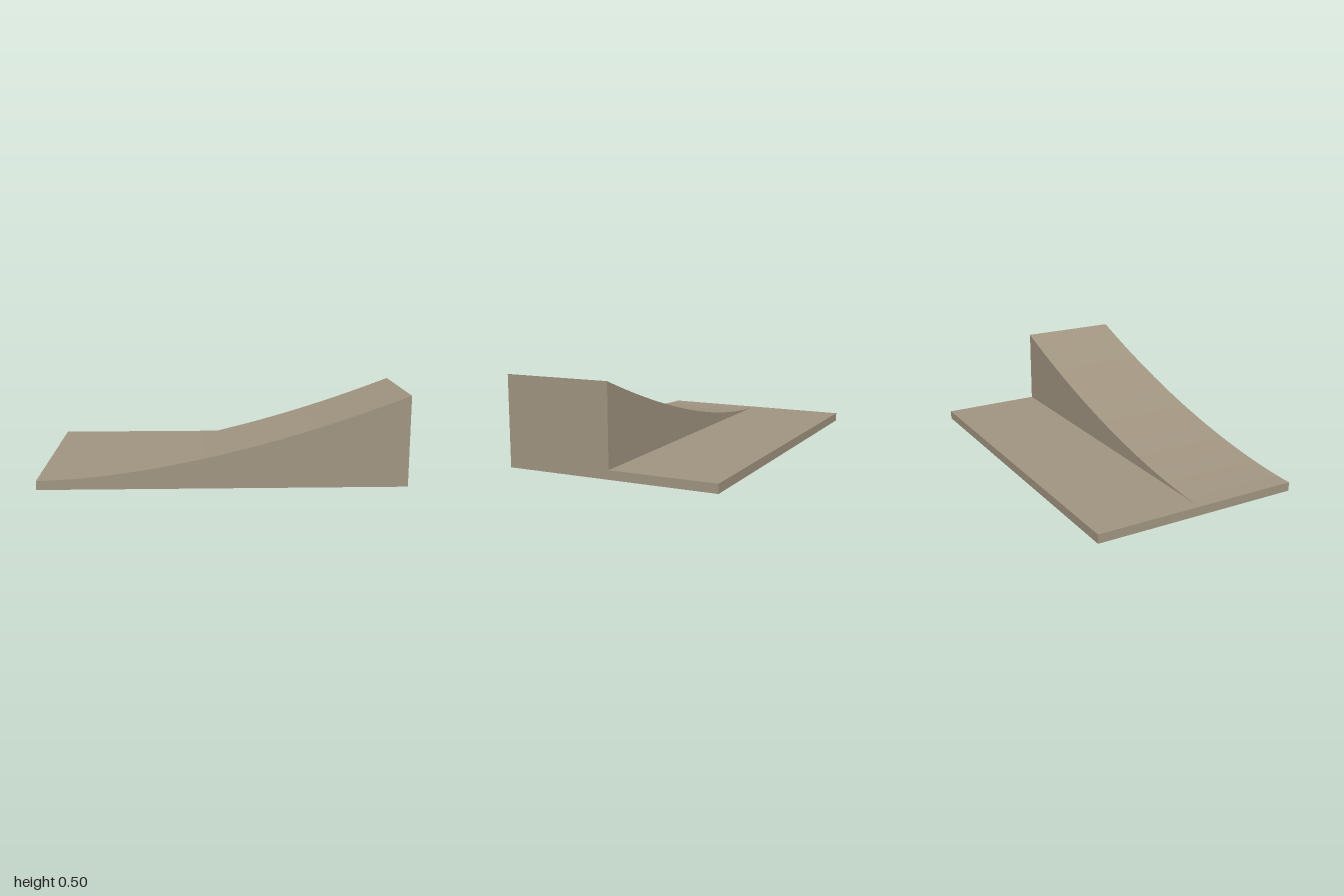
import * as THREE from 'three';

export function createModel() {
  const group = new THREE.Group();
  const stone = new THREE.MeshStandardMaterial({ color: 0xa09480 });
  stone.name = 'warm grey stone';

  const base = 0.05, height = 0.5, depth = 0.6, steps = 40;

  // Ramp: side profile rising in a gentle curve towards +x
  const profile = new THREE.Shape();
  profile.moveTo(-1, 0);
  profile.lineTo(1, 0);
  for (let i = steps; i >= 0; i--) {
    const t = i / steps;
    profile.lineTo(-1 + 2 * t, base + (height - base) * Math.pow(t, 1.7));
  }
  const ramp = new THREE.Mesh(
    new THREE.ExtrudeGeometry(profile, { depth, bevelEnabled: false }), stone);
  ramp.name = 'curvedRamp';

  // Flat plate beside the ramp
  const plate = new THREE.Mesh(new THREE.BoxGeometry(2, base, depth), stone);
  plate.position.set(0, base / 2, -depth / 2);
  plate.name = 'basePlate';

  group.add(ramp, plate);
  return group;
}
